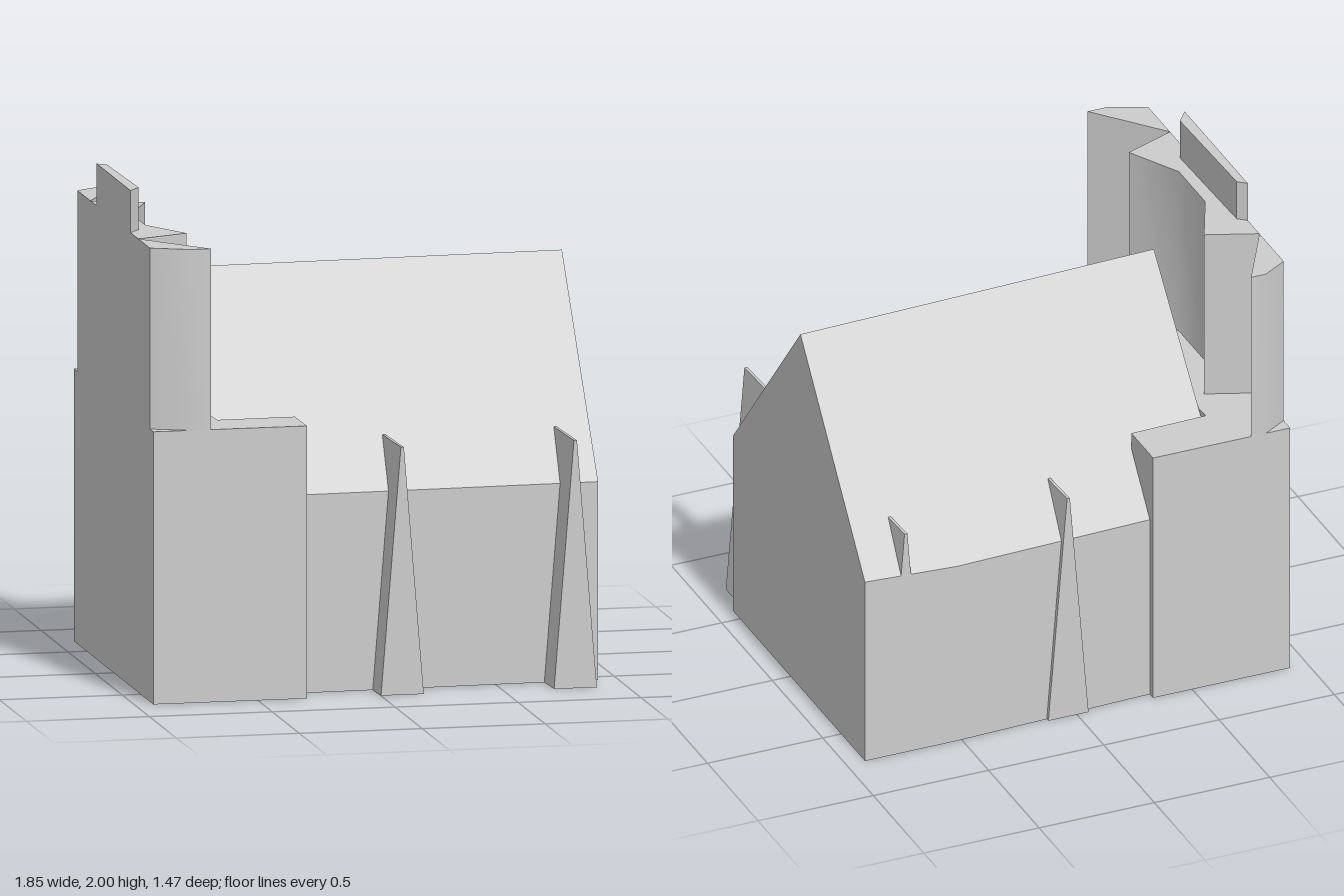
import * as THREE from 'three';
import { toCreasedNormals } from 'three/addons/utils/BufferGeometryUtils.js';

const stone = new THREE.MeshStandardMaterial({ color: 0xcccccc });
stone.name = 'paleStone';

function addPart(group, name, geometry) {
  const mesh = new THREE.Mesh(geometry, stone);
  mesh.name = name;
  group.add(mesh);
}

// Upright prism over a ground plan of [x, z] points
function prism(plan, y0, y1) {
  const shape = new THREE.Shape(plan.map(([x, z]) => new THREE.Vector2(x, -z)));
  const geo = new THREE.ExtrudeGeometry(shape, { depth: y1 - y0, bevelEnabled: false });
  geo.rotateX(-Math.PI / 2).translate(0, y0, 0);
  return toCreasedNormals(geo, 0.6);
}

// Loft between cross-sections of equal point count, ordered along +x, closed at both ends
function loft(sections) {
  const pos = [];
  const n = sections[0].length;
  const tri = (...pts) => pts.forEach((p) => pos.push(...p));
  for (let s = 0; s < sections.length - 1; s++) {
    const a = sections[s], b = sections[s + 1];
    for (let i = 0; i < n; i++) {
      const j = (i + 1) % n;
      tri(a[i], a[j], b[j]);
      tri(a[i], b[j], b[i]);
    }
  }
  const first = sections[0], last = sections[sections.length - 1];
  for (let i = 1; i < n - 1; i++) {
    tri(first[0], first[i + 1], first[i]);
    tri(last[0], last[i], last[i + 1]);
  }
  const geo = new THREE.BufferGeometry();
  geo.setAttribute('position', new THREE.Float32BufferAttribute(pos, 3));
  geo.computeVertexNormals();
  return geo;
}

// Cross-section of the nave: back wall, ridge, front wall; the gable end may be skewed
function naveSection(x, back, backEave, ridge, front, skew = 0) {
  return [[back, 0], [back, backEave], [ridge, 1.62], [front, 0.8], [front, 0]]
    .map(([z, y]) => [x + skew * z, y, z]);
}

// Tapering buttress, slightly skewed with the nave
function buttress(x, z0, z1) {
  const shape = new THREE.Shape([
    new THREE.Vector2(x - 0.087, 0), new THREE.Vector2(x + 0.087, 0),
    new THREE.Vector2(x + 0.006, 1), new THREE.Vector2(x - 0.006, 1),
  ]);
  const geo = new THREE.ExtrudeGeometry(shape, { depth: z1 - z0, bevelEnabled: false });
  geo.translate(0, 0, z0);
  const p = geo.attributes.position;
  const outer = Math.abs(z0) > Math.abs(z1) ? z0 : z1;
  for (let i = 0; i < p.count; i++) p.setX(i, p.getX(i) + (p.getZ(i) - outer) * 0.036);
  geo.computeVertexNormals();
  return geo;
}

export function createModel() {
  const group = new THREE.Group();
  group.name = 'chapel';

  // Gabled nave
  addPart(group, 'nave', loft([
    naveSection(-0.637, -0.69, 0.8, -0.04, 0.623, 0.034),
    naveSection(0.52, -0.735, 0.8, -0.083, 0.585),
    naveSection(0.92, -0.735, 0.82, -0.097, 0.572),
  ]));

  // West block with two wings wrapping the nave
  addPart(group, 'westBlock', prism([
    [-0.925, -0.735], [-0.33, -0.735], [-0.33, -0.52], [-0.657, -0.51],
    [-0.62, 0.525], [-0.303, 0.52], [-0.3, 0.735], [-0.925, 0.735],
  ], 0, 1.1));

  // Broken tower wall with a hollow inner face
  addPart(group, 'towerWall', prism([
    [-0.925, -0.43], [-0.72, -0.35], [-0.83, -0.11],
    [-0.83, 0.15], [-0.71, 0.37], [-0.925, 0.455],
  ], 1.1, 1.83));

  // Diagonal tower corners
  addPart(group, 'frontTowerCorner', prism([
    [-0.925, 0.455], [-0.69, 0.735], [-0.775, 0.735], [-0.925, 0.67],
  ], 1.1, 1.83));
  addPart(group, 'backTowerCorner', prism([
    [-0.925, -0.43], [-0.755, -0.735], [-0.82, -0.735], [-0.925, -0.67],
  ], 1.1, 1.83));

  // Parapet on top of the tower wall
  addPart(group, 'parapet', prism([
    [-0.925, -0.315], [-0.89, -0.285], [-0.878, 0.25], [-0.925, 0.31],
  ], 1.83, 2));

  // Buttresses along both long walls
  for (const x of [0.088, 0.792]) addPart(group, 'frontButtress', buttress(x, 0.38, 0.735));
  for (const x of [0.037, 0.742]) addPart(group, 'backButtress', buttress(x, -0.735, -0.5));

  return group;
}
